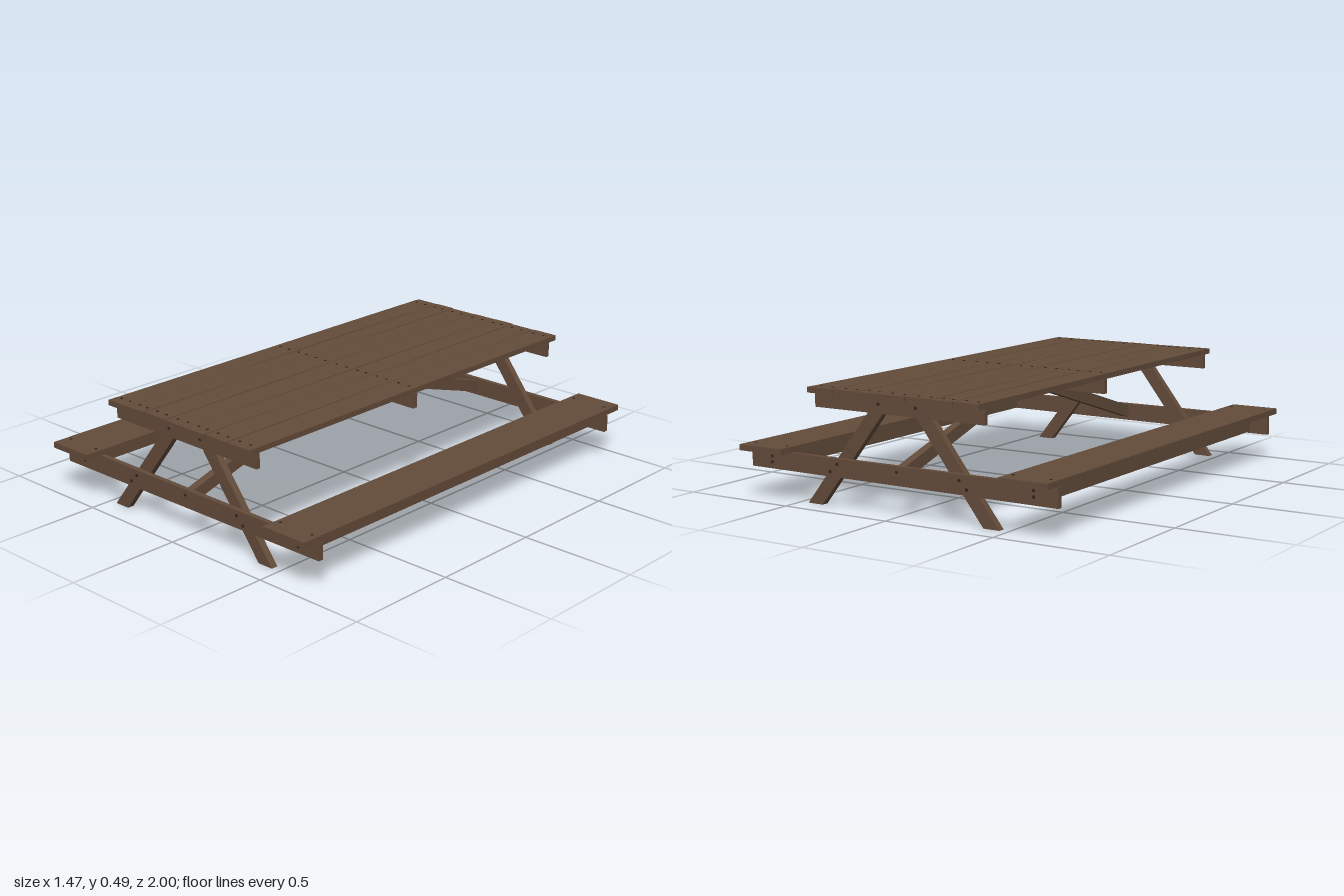
import * as THREE from 'three';

export function createModel() {
  const model = new THREE.Group();
  model.name = 'picnicTable';
  const wood = new THREE.MeshStandardMaterial({ color: 0x634b3a });
  wood.name = 'brown wood';
  const iron = new THREE.MeshStandardMaterial({ color: 0x32261e });
  iron.name = 'dark fasteners';

  const add = (name, geometry, material = wood) => {
    const mesh = new THREE.Mesh(geometry, material);
    mesh.name = name;
    model.add(mesh);
    return mesh;
  };
  // Board given by its low and high corner
  const board = (name, x0, x1, y0, y1, z0, z1, segs = 1) => {
    const g = new THREE.BoxGeometry(x1 - x0, y1 - y0, z1 - z0, 1, 1, segs);
    g.translate((x0 + x1) / 2, (y0 + y1) / 2, (z0 + z1) / 2);
    return add(name, g);
  };
  // Flat outline in x,y extruded along z
  const slab = (points, z0, z1) => {
    const shape = new THREE.Shape(points.map(p => new THREE.Vector2(...p)));
    const g = new THREE.ExtrudeGeometry(shape, { depth: z1 - z0, bevelEnabled: false });
    return g.translate(0, 0, z0);
  };
  // Round fastener head facing up or along z
  const head = (name, x, y, z, r, alongZ = false) => {
    const m = add(name, new THREE.CylinderGeometry(r, r, 0.004, 8), iron);
    m.position.set(x, y, z);
    if (alongZ) m.rotation.x = Math.PI / 2;
  };

  // Table top: seven slightly bowed planks with narrow gaps
  const seams = [-0.415, -0.297, -0.197, -0.075, 0.052, 0.158, 0.278, 0.405];
  for (let i = 0; i < 7; i++) {
    const a = seams[i] + 0.002, b = seams[i + 1] - 0.002;
    const back = -0.965 - 0.004 * Math.sin(i * 2.1);
    const front = 0.953 + 0.003 * Math.cos(i * 1.7);
    const plank = board('topPlank', a, b, 0.466, 0.489, back, front, 16);
    const p = plank.geometry.attributes.position;
    for (let k = 0; k < p.count; k++) {
      p.setX(k, p.getX(k) + 0.0015 * Math.sin(p.getZ(k) * 3 + i * 1.9));
    }
    plank.geometry.computeVertexNormals();
    for (const z of [-0.92, 0, 0.91]) {
      for (const t of [0.25, 0.72]) head('topScrew', a + (b - a) * t, 0.489, z, 0.006);
    }
  }

  // Cleat under the middle of the top
  board('middleCleat', -0.405, 0.405, 0.402, 0.466, -0.012, 0.012);

  for (const s of [-1, 1]) {
    const span = (a, b) => (s > 0 ? [a, b] : [-b, -a]);

    // End cleat and long cross beam, bolted outside the legs
    board('endCleat', -0.41, 0.405, 0.402, 0.466, ...span(0.898, 0.916));
    add('crossBeam', slab([[-0.737, 0.122], [0.737, 0.128], [0.737, 0.202], [-0.737, 0.204]],
      ...span(0.9, 0.922)));

    // Splayed legs
    for (const m of [-1, 1]) {
      const outline = [[0.39, 0], [0.463, 0], [0.103, 0.464], [0.03, 0.464]];
      add(m > 0 ? 'leftLeg' : 'rightLeg',
        slab(outline.map(([x, y]) => [m * x, y]), ...span(0.87, 0.9)));
      head('cleatBolt', m * 0.09, 0.44, s * 0.917, 0.007, true);
      head('beamBolt', m * 0.295, 0.18, s * 0.923, 0.007, true);
      head('beamBolt', m * 0.33, 0.147, s * 0.923, 0.007, true);
      for (const y of [0.155, 0.18]) head('joistBolt', m * 0.63, y, s * 0.923, 0.007, true);
      for (const x of [0.545, 0.71]) head('benchScrew', m * x, 0.23, s * 0.93, 0.006);
    }
    head('braceBolt', 0, 0.18, s * 0.923, 0.006, true);

    // Diagonal brace from the middle cleat down to the cross beam
    const brace = slab([[0, 0.41], [0.9, 0.14], [0.9, 0.195], [0, 0.465]], -0.018, 0.018);
    brace.rotateY(-s * Math.PI / 2);
    add('diagonalBrace', brace);

    // Bench seat with a joist beneath it
    board('benchSeat', ...span(0.52, 0.737), 0.205, 0.23, -1, 1);
    board('benchJoist', ...span(0.608, 0.652), 0.13, 0.205, -0.902, 0.902);
  }
  return model;
}
